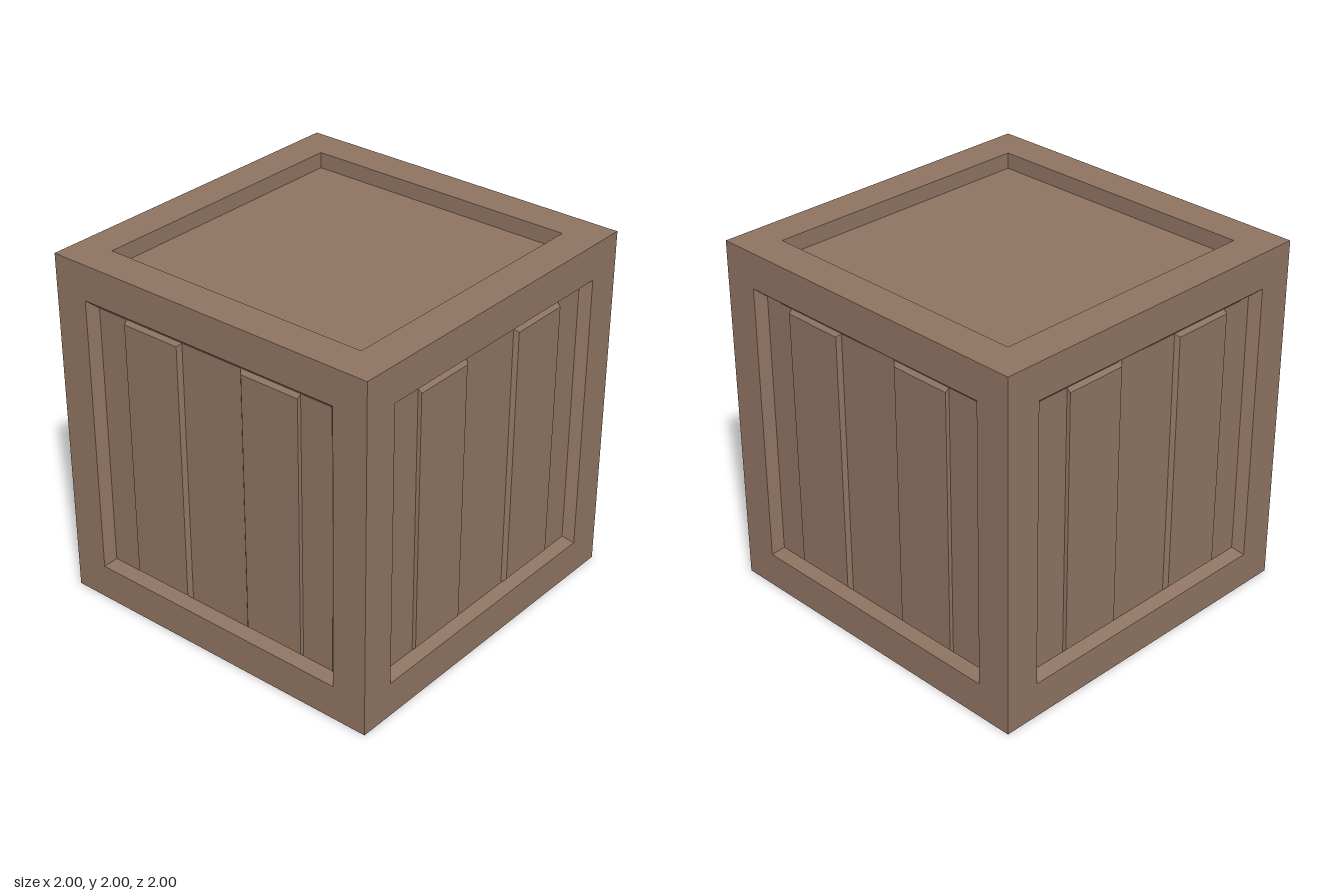
import * as THREE from 'three';

const wood = new THREE.MeshStandardMaterial({ color: 0x8e7361, flatShading: true });

// Rectangle [left, right, bottom, top, z] as corners, counter-clockwise seen from +z
const corners = ([l, r, b, t, z]) => [[l, b, z], [r, b, z], [r, t, z], [l, t, z]];
const square = (s, z) => [-s, s, -s, s, z];

// Joins successive rectangles, outermost first, with flat bands; optionally closes the last one
function steppedMesh(name, rects, capped) {
  const pos = [];
  const quad = (a, b, c, d) => pos.push(...a, ...b, ...c, ...a, ...c, ...d);
  const rings = rects.map(corners);
  for (let k = 0; k + 1 < rings.length; k++) {
    for (let i = 0; i < 4; i++) {
      const j = (i + 1) % 4;
      quad(rings[k][i], rings[k][j], rings[k + 1][j], rings[k + 1][i]);
    }
  }
  if (capped) quad(...rings[rings.length - 1]);
  const geo = new THREE.BufferGeometry();
  geo.setAttribute('position', new THREE.Float32BufferAttribute(pos, 3));
  geo.computeVertexNormals();
  const mesh = new THREE.Mesh(geo, wood);
  mesh.name = name;
  return mesh;
}

const OPEN = 0.8, INNER = 0.755, FLOOR = 0.95, PLANK = 0.02;

// One wall facing +z: bevelled frame, sunken board and two raised planks
function makeSide() {
  const side = new THREE.Group();
  side.add(steppedMesh('sideFrame', [square(1, 1), square(OPEN, 1), square(INNER, FLOOR)], false));
  side.add(steppedMesh('sideBoard', [square(INNER, FLOOR)], true));
  for (const s of [-1, 1]) {
    // Only the edge towards the middle and the two ends are bevelled
    const span = (inner, outer) => (s > 0 ? [inner, outer] : [-outer, -inner]);
    side.add(steppedMesh(s > 0 ? 'leftPlank' : 'rightPlank', [
      [...span(0.19, 0.565), -INNER, INNER, FLOOR],
      [...span(0.21, 0.563), -INNER + PLANK, INNER - PLANK, FLOOR + PLANK],
    ], true));
  }
  return side;
}

export function createModel() {
  const crate = new THREE.Group();
  crate.name = 'crate';

  // Four matching walls
  ['frontSide', 'leftSide', 'backSide', 'rightSide'].forEach((name, i) => {
    const side = makeSide();
    side.name = name;
    side.rotation.y = i * Math.PI / 2;
    side.position.y = 1;
    crate.add(side);
  });

  // Lid: rim with straight walls down to a sunken board
  const lid = new THREE.Group();
  lid.name = 'lid';
  lid.add(steppedMesh('lidFrame', [square(1, 1), square(OPEN, 1), square(OPEN, 0.91)], false));
  lid.add(steppedMesh('lidBoard', [square(OPEN, 0.91)], true));
  lid.rotation.x = -Math.PI / 2;
  lid.position.y = 1;
  crate.add(lid);

  // Plain base
  const base = steppedMesh('base', [square(1, 1)], true);
  base.rotation.x = Math.PI / 2;
  base.position.y = 1;
  crate.add(base);

  return crate;
}
